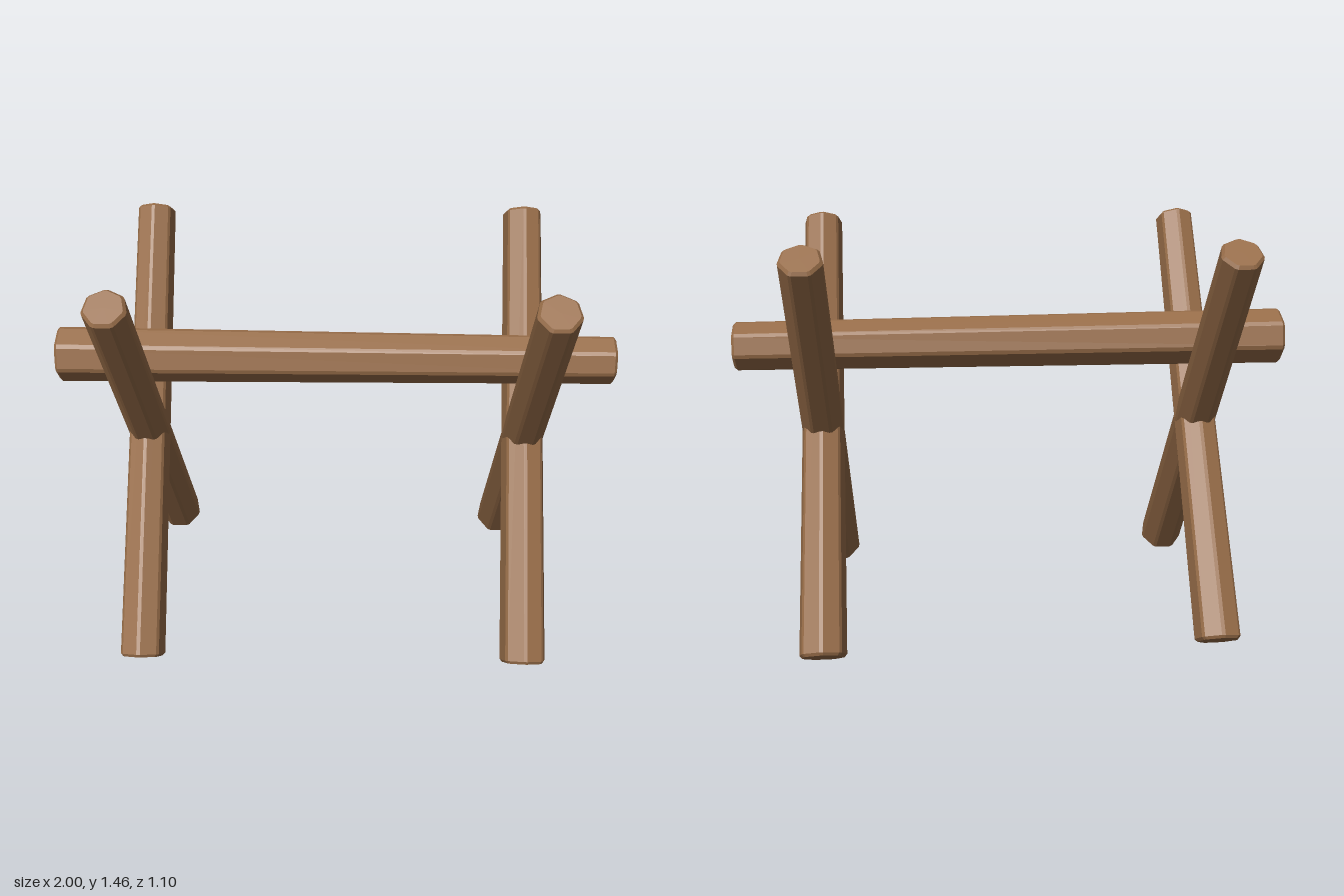
import * as THREE from 'three';

const SIDES = 7;
const BEVEL = 0.01;

// One cross-section: a heptagon with narrow chamfered corners, first corner on +x
function ring(radius, y) {
  const corner = (i) => new THREE.Vector3(
    radius * Math.cos((i / SIDES) * Math.PI * 2), y,
    radius * Math.sin((i / SIDES) * Math.PI * 2));
  const cut = 0.1;
  const points = [];
  for (let i = 0; i < SIDES; i++) {
    points.push(corner(i).lerp(corner(i - 1), cut), corner(i).lerp(corner(i + 1), cut));
  }
  return points;
}

// Tapered log along +y with bevelled ends
function logGeometry(length, r0, r1) {
  const rings = [
    ring(r0 - BEVEL, 0), ring(r0, BEVEL),
    ring(r1, length - BEVEL), ring(r1 - BEVEL, length),
  ];
  const n = SIDES * 2;
  const pts = [];
  const base = new THREE.Vector3();
  const tip = new THREE.Vector3(0, length, 0);
  for (let i = 0; i < n; i++) {
    const j = (i + 1) % n;
    for (let k = 0; k < 3; k++) {
      const b = rings[k], t = rings[k + 1];
      pts.push(b[j], b[i], t[i], b[j], t[i], t[j]);
    }
    pts.push(base, rings[0][i], rings[0][j]);
    pts.push(tip, rings[3][j], rings[3][i]);
  }
  const geometry = new THREE.BufferGeometry().setFromPoints(pts);
  geometry.computeVertexNormals();
  return geometry;
}

// Places a log between two points, with its ridge turned towards "ridge"
function makeLog(name, from, to, ridge, r0, r1, material) {
  const axis = to.clone().sub(from);
  const length = axis.length();
  axis.normalize();
  const u = ridge.clone().addScaledVector(axis, -ridge.dot(axis)).normalize();
  const w = new THREE.Vector3().crossVectors(u, axis);
  const mesh = new THREE.Mesh(logGeometry(length, r0, r1), material);
  mesh.name = name;
  mesh.quaternion.setFromRotationMatrix(new THREE.Matrix4().makeBasis(u, axis, w));
  mesh.position.copy(from);
  return mesh;
}

export function createModel() {
  const model = new THREE.Group();
  model.name = 'sawhorse';
  const wood = new THREE.MeshStandardMaterial({ color: 0x966c48 });
  wood.name = 'brown wood';
  const up = new THREE.Vector3(0, 1, 0);

  // Resting log, thicker at its right end
  model.add(makeLog('restingLog', new THREE.Vector3(-1, 1.044, 0),
    new THREE.Vector3(1, 1.044, 0), up, 0.105, 0.09, wood));

  // Two crossed pairs of legs
  for (const side of [-1, 1]) {
    const frame = new THREE.Group();
    frame.name = side < 0 ? 'rightCrossFrame' : 'leftCrossFrame';
    for (const dir of [1, -1]) {
      frame.add(makeLog(dir > 0 ? 'frontLeg' : 'backLeg',
        new THREE.Vector3(0, 0.045, dir * 0.486),
        new THREE.Vector3(0, 1.433, dir * -0.486), up, 0.0865, 0.0745, wood));
    }
    frame.position.x = side * 0.7;
    model.add(frame);
  }
  return model;
}
